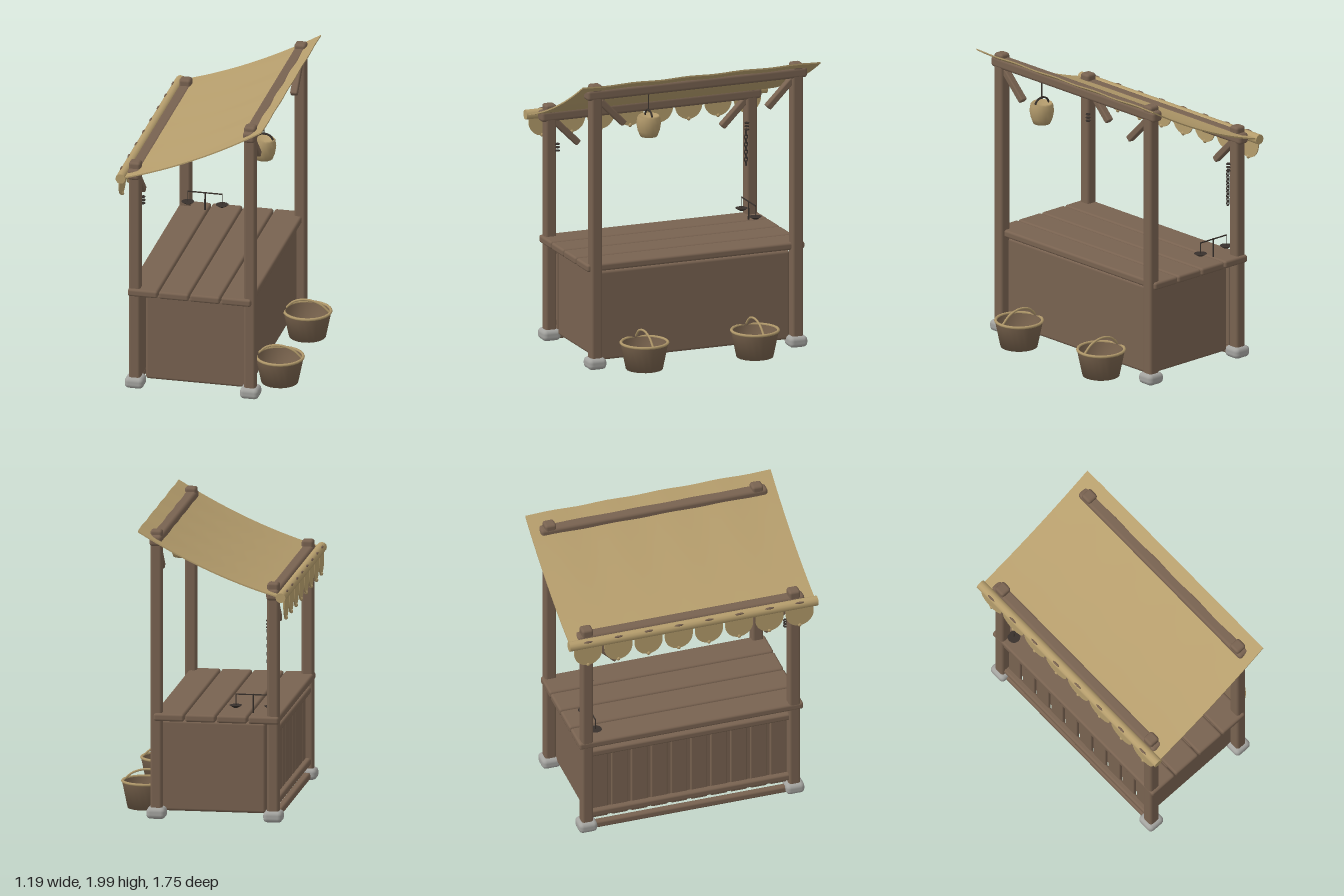
import * as THREE from 'three';
import { RoundedBoxGeometry } from 'three/addons/geometries/RoundedBoxGeometry.js';

const mat = (name, color, double = false) => {
  const m = new THREE.MeshStandardMaterial({ color });
  m.name = name;
  if (double) m.side = THREE.DoubleSide;
  return m;
};

export function createModel() {
  const wood = mat('wood', 0x786250);
  const bucketWood = mat('bucket wood', 0x75604b, true);
  const cloth = mat('cloth', 0xb59d6c, true);
  const straw = mat('straw', 0xb0986a, true);
  const stone = mat('stone', 0xa3a39f);
  const iron = mat('iron', 0x38312c, true);
  const root = new THREE.Group();

  const add = (name, geo, material, x = 0, y = 0, z = 0, parent = root) => {
    const m = new THREE.Mesh(geo, material);
    m.name = name;
    m.position.set(x, y, z);
    parent.add(m);
    return m;
  };
  const box = (name, w, h, d, r, material, x, y, z) =>
    add(name, new RoundedBoxGeometry(w, h, d, 2, r), material, x, y, z);
  const tube = (name, pts, r, material, parent, n = 16) =>
    add(name, new THREE.TubeGeometry(
      new THREE.CatmullRomCurve3(pts.map(p => new THREE.Vector3(...p))), n, r, 6), material, 0, 0, 0, parent);

  // Posts with stone feet, cross beams and diagonal braces
  for (const [side, x, top] of [['front', -0.495, 1.645], ['back', 0.298, 1.98]]) {
    for (const s of [-1, 1]) {
      box(side + 'Post', 0.08, top - 0.04, 0.08, 0.018, wood, x, (top + 0.04) / 2, s * 0.73);
      box(side + 'Foot', 0.13, 0.078, 0.13, 0.03, stone, x, 0.046, s * 0.73);
      const brace = box(side + 'Brace', 0.05, 0.25, 0.045, 0.01, wood, x, top - 0.205, s * 0.61);
      brace.rotation.x = s * Math.PI / 4;
    }
    box(side + 'Beam', 0.085, 0.075, 1.6, 0.022, wood, x, top - (side === 'front' ? 0.08 : 0.068), 0);
  }

  // Sagging canopy sheet
  const sheet = new THREE.BoxGeometry(0.97, 0.01, 1.73, 14, 1, 24);
  const p = sheet.attributes.position;
  for (let i = 0; i < p.count; i++) {
    const t = p.getX(i) / 0.97 + 0.5;
    const ripple = 0.003 * Math.sin(p.getZ(i) * 16) * t;
    p.setXYZ(i, -0.565 + 0.97 * t, p.getY(i) + 1.565 + 0.425 * t - 0.16 * t * (1 - t) + ripple, p.getZ(i));
  }
  sheet.computeVertexNormals();
  add('canopy', sheet, cloth);

  // Rolled front edge with ties and scalloped valance
  add('canopyRoll', new THREE.CylinderGeometry(0.034, 0.034, 1.75, 12).rotateX(Math.PI / 2), cloth, -0.565, 1.565, 0);
  const scallop = new THREE.Shape();
  scallop.moveTo(-0.098, 0.03);
  scallop.lineTo(-0.098, -0.03);
  scallop.absellipse(0, -0.03, 0.098, 0.1, Math.PI, Math.PI * 2, false);
  scallop.lineTo(0.098, 0.03);
  const flap = new THREE.ExtrudeGeometry(scallop, { depth: 0.008, bevelEnabled: false, curveSegments: 12 });
  flap.rotateY(-Math.PI / 2);
  for (let i = 0; i < 8; i++) {
    const z = (i - 3.5) * 0.213;
    add('valanceFlap', flap, cloth, -0.578, 1.535, z);
    add('valanceTassel', new THREE.SphereGeometry(0.014, 8, 6), straw, -0.582, 1.408, z);
    const tie = add('rollTie', new THREE.SphereGeometry(0.008, 8, 6), wood, -0.588, 1.59, z);
    tie.scale.z = 4;
  }

  // Counter: top planks and closed body
  for (let i = 0; i < 4; i++) {
    box('counterPlank', 0.206, 0.052, 1.58, 0.016, wood, -0.434 + i * 0.2145, 0.705, 0);
  }
  box('counterBody', 0.715, 0.62, 1.39, 0.02, wood, -0.0775, 0.36, 0);

  // Slatted counter front with rails
  for (let i = 0; i < 10; i++) {
    box('frontSlat', 0.025, 0.57, 0.115, 0.008, wood, -0.472, 0.36, (i - 4.5) * 0.14);
  }
  for (const y of [0.035, 0.13, 0.62]) {
    box('frontRail', 0.05, 0.05, 1.42, 0.015, wood, -0.495, y, 0);
  }

  // Buckets with rims and arched handles
  for (const z of [0.425, -0.378]) {
    const g = new THREE.Group();
    g.name = 'bucket';
    g.position.set(0.427, 0, z);
    root.add(g);
    const wall = [[0, 0.006], [0.125, 0.006], [0.162, 0.185], [0.148, 0.185], [0.118, 0.03], [0, 0.03]];
    add('bucketWall', new THREE.LatheGeometry(wall.map(q => new THREE.Vector2(...q)), 20), bucketWood, 0, 0, 0, g);
    add('bucketRim', new THREE.TorusGeometry(0.158, 0.01, 6, 24).rotateX(Math.PI / 2), straw, 0, 0.187, 0, g);
    tube('bucketHandle', [[-0.155, 0.19, 0], [-0.09, 0.248, 0], [0, 0.265, 0], [0.09, 0.24, 0], [0.15, 0.19, 0]], 0.008, straw, g);
  }

  // Hanging jar
  const jar = new THREE.Group();
  jar.name = 'hangingJar';
  jar.position.set(0.298, 1.58, 0.34);
  root.add(jar);
  const jarProfile = [[0, 0], [0.058, 0], [0.074, 0.04], [0.083, 0.09], [0.076, 0.135], [0.068, 0.145], [0.06, 0.13], [0, 0.12]];
  add('jarBody', new THREE.LatheGeometry(jarProfile.map(q => new THREE.Vector2(...q)), 16), straw, 0, 0, 0, jar);
  tube('jarHandle', [[-0.066, 0.13, 0], [-0.045, 0.165, 0], [0, 0.18, 0], [0.045, 0.165, 0], [0.066, 0.13, 0]], 0.007, iron, jar);
  add('jarCord', new THREE.CylinderGeometry(0.004, 0.004, 0.14, 6), iron, 0, 0.24, 0, jar);

  // Balance scale on the counter
  const scale = new THREE.Group();
  scale.name = 'balanceScale';
  scale.position.set(-0.345, 0.73, -0.655);
  root.add(scale);
  add('scaleStand', new THREE.CylinderGeometry(0.005, 0.006, 0.18, 8), iron, 0, 0.04, 0, scale);
  add('scaleArm', new THREE.BoxGeometry(0.24, 0.007, 0.007), iron, 0, 0.125, 0, scale);
  for (const s of [-1, 1]) {
    add('scaleCord', new THREE.CylinderGeometry(0.0025, 0.0025, 0.075, 5), iron, s * 0.118, 0.088, 0, scale);
    add('scalePan', new THREE.CylinderGeometry(0.044, 0.015, 0.018, 12), iron, s * 0.118, 0.042, 0, scale);
  }

  // Rope knots on the front posts and a chain on one of them
  for (const s of [-1, 1]) {
    for (let i = 0; i < 3; i++) {
      add('postKnot', new THREE.TorusGeometry(0.012, 0.005, 6, 10).rotateX(Math.PI / 2), iron, -0.453, 1.325 + i * 0.023, s * 0.688);
    }
  }
  for (let i = 0; i < 9; i++) {
    const link = add('chainLink', new THREE.TorusGeometry(0.011, 0.004, 6, 10), iron, -0.453, 1.3 - i * 0.026, -0.682);
    link.scale.y = 1.5;
    link.rotation.y = (i % 2) * Math.PI / 2;
  }
  return root;
}
